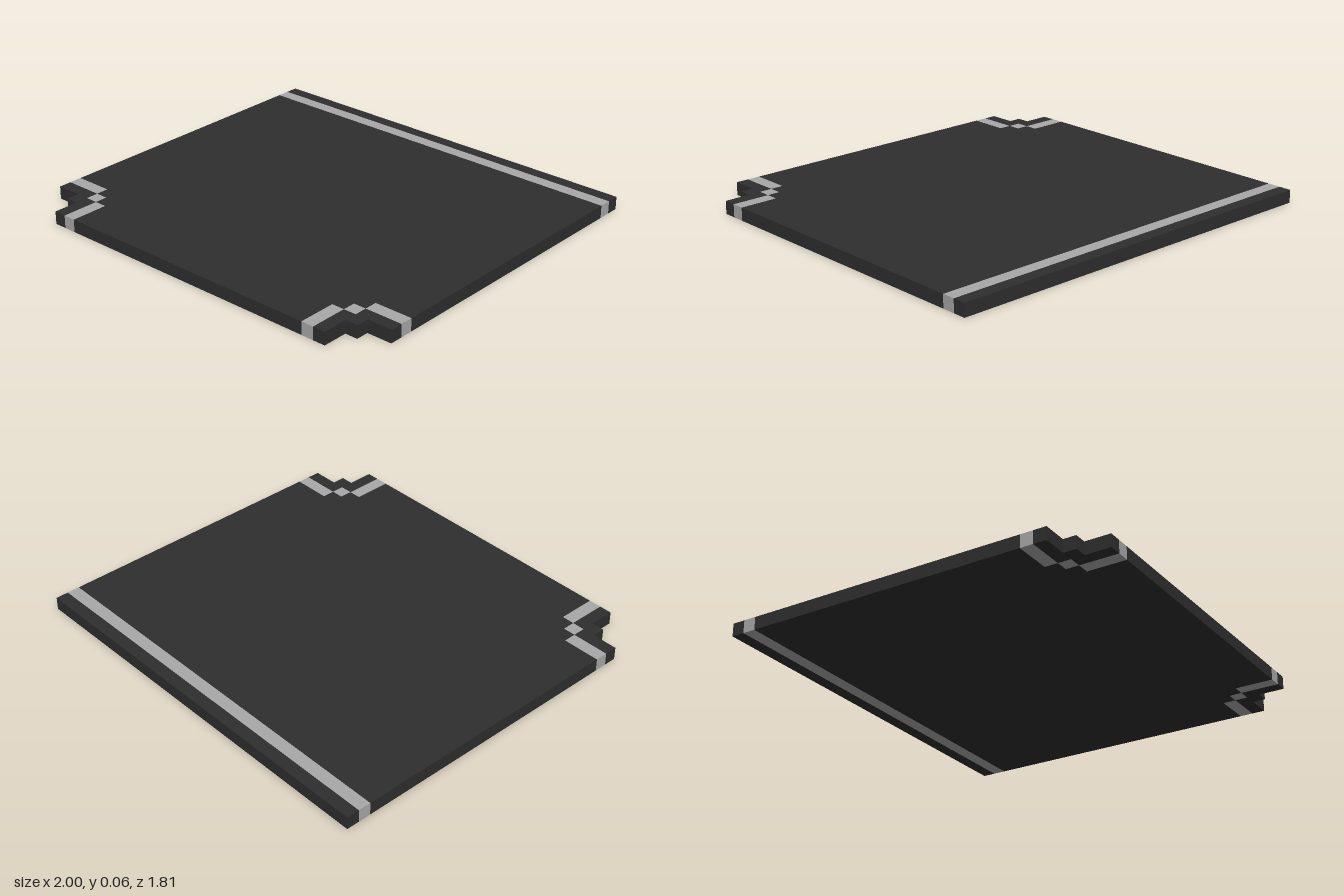
import * as THREE from 'three';

const U = 2 / 32; // one grid cell; the slab is 32 x 29 cells and one cell thick

// Flat slab from an outline of [column, row] cells, row 0 at the back
function slab(name, outline, material, mirrored = false) {
  const points = outline.map(([c, r]) =>
    new THREE.Vector2(((mirrored ? 32 - c : c) - 16) * U, (14.5 - r) * U));
  const geometry = new THREE.ExtrudeGeometry(new THREE.Shape(points), { depth: U, bevelEnabled: false });
  geometry.rotateX(-Math.PI / 2);
  const mesh = new THREE.Mesh(geometry, material);
  mesh.name = name;
  return mesh;
}

const rect = (c0, r0, c1, r1) => [[c0, r0], [c1, r0], [c1, r1], [c0, r1]];

export function createModel() {
  const dark = new THREE.MeshStandardMaterial({ color: 0x2e2e2e });
  dark.name = 'charcoal';
  const light = new THREE.MeshStandardMaterial({ color: 0xa8a8a8 });
  light.name = 'light grey';

  const model = new THREE.Group();
  model.name = 'panel';

  // Main panel with stepped front corners
  const rightSteps = [[5, 29], [5, 26], [4, 26], [4, 25], [3, 25], [3, 24], [0, 24], [0, 2]];
  const leftSteps = rightSteps.map(([c, r]) => [32 - c, r]).reverse();
  model.add(slab('mainPanel', [...rightSteps, ...leftSteps], dark));

  // Back edge and its stripe
  model.add(slab('backRim', rect(0, 0, 32, 1), dark));
  model.add(slab('backStripe', rect(0, 1, 32, 2), light));

  // Notched corner rims and the stepped stripes inside them
  const rim = [[0, 25], [3, 25], [3, 26], [4, 26], [4, 29], [3, 29], [3, 27], [2, 27], [2, 26], [0, 26]];
  const stripeParts = [rect(0, 24, 3, 25), rect(3, 25, 4, 26), rect(4, 26, 5, 29)];
  for (const mirrored of [false, true]) {
    const side = mirrored ? 'left' : 'right';
    model.add(slab(side + 'CornerRim', rim, dark, mirrored));
    const stripe = new THREE.Group();
    stripe.name = side + 'CornerStripe';
    stripeParts.forEach((part, i) => stripe.add(slab('stripeStep' + (i + 1), part, light, mirrored)));
    model.add(stripe);
  }
  return model;
}
